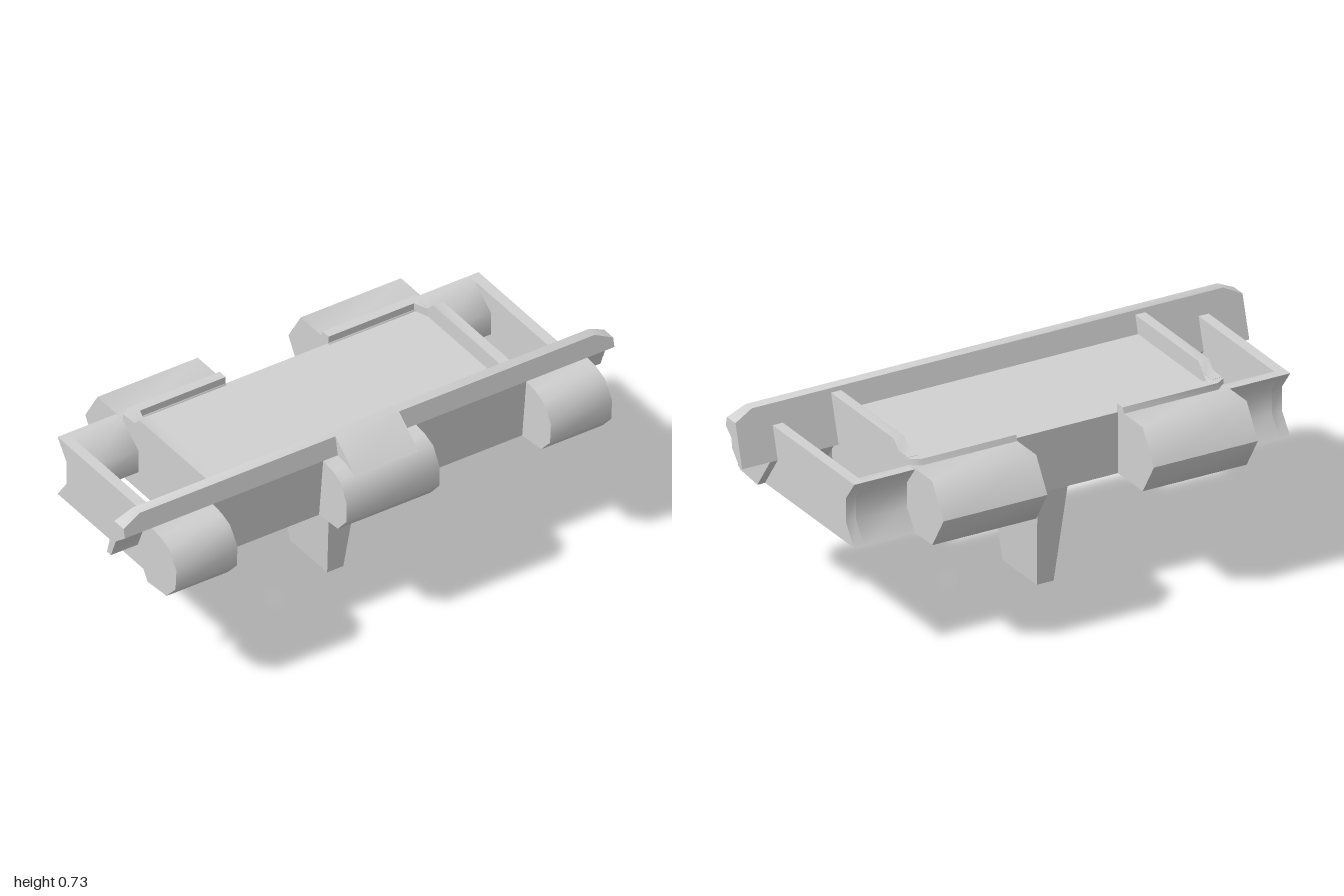
import * as THREE from 'three';
import { toCreasedNormals } from 'three/addons/utils/BufferGeometryUtils.js';

export function createModel() {
  const model = new THREE.Group();
  const grey = new THREE.MeshStandardMaterial({ color: 0xd0d0d0 });
  grey.name = 'plain grey';

  const shapeOf = (pts) => new THREE.Shape(pts.map(([a, b]) => new THREE.Vector2(a, b)));
  const add = (name, geometry) => {
    const mesh = new THREE.Mesh(toCreasedNormals(geometry, 1.05), grey);
    mesh.name = name;
    model.add(mesh);
  };
  // Side profile given as [z, y], extruded from x0 to x1
  const prism = (pts, x0, x1) => {
    const g = new THREE.ExtrudeGeometry(shapeOf(pts), { depth: x1 - x0, bevelEnabled: false });
    return g.rotateY(-Math.PI / 2).translate(x1, 0, 0);
  };
  const pair = (name, pts, x0, x1) => {
    add(name + 'Left', prism(pts, x0, x1));
    add(name + 'Right', prism(pts, -x1, -x0));
  };

  // Tray body and front wall
  add('trayBody', prism([[-0.24, 0.415], [0.28, 0.415], [0.28, 0.645], [-0.24, 0.645]], -0.62, 0.62));
  add('frontWall', prism([[0.26, 0.415], [0.305, 0.415], [0.33, 0.655], [0.27, 0.655]], -0.64, 0.64));

  // Hooked lip across the full width, with a top whose corners are clipped
  add('hookedLip', prism([[0.33, 0.655], [0.3225, 0.69], [0.265, 0.69], [0.22, 0.535],
    [0.245, 0.535], [0.275, 0.61]], -1, 1));
  const lipTop = prism([[0.3225, 0.69], [0.315, 0.725], [0.275, 0.725], [0.265, 0.69]], -1, 1);
  const p = lipTop.attributes.position;
  for (let i = 0; i < p.count; i++) {
    if (p.getY(i) > 0.7) p.setX(i, Math.sign(p.getX(i)) * 0.93);
  }
  add('lipTop', lipTop);

  // Front rolls
  const roll = [[0.33, 0.655], [0.385, 0.648], [0.435, 0.63], [0.48, 0.565], [0.475, 0.485],
    [0.42, 0.425], [0.305, 0.415], [0.22, 0.535], [0.275, 0.61]];
  pair('frontRoll', roll, 0.64, 0.89);
  add('centreRoll', prism(roll.map(([z, y]) => [Math.min(z, 0.472), y]), -0.19, 0.19));
  add('centreWedge', prism([[0.3, 0.6], [0.43, 0.6], [0.435, 0.63], [0.315, 0.725], [0.3, 0.725]], -0.13, 0.13));

  // Back rolls, joined flush to the tray
  pair('backRoll', [[-0.23, 0.415], [-0.405, 0.415], [-0.48, 0.535], [-0.405, 0.655],
    [-0.24, 0.655], [-0.23, 0.645]], 0.21, 0.62);

  // Tray side rails, stepping down at the back
  pair('sideRail', [[-0.24, 0.415], [0.28, 0.415], [0.28, 0.71], [-0.15, 0.71],
    [-0.18, 0.68], [-0.24, 0.677]], 0.58, 0.62);

  // Low back rails with clipped corners, drawn in plan as [x, z], narrower on top
  const plan = [[0.21, -0.235], [0.56, -0.235], [0.58, -0.18], [0.62, -0.18], [0.62, -0.25],
    [0.585, -0.285], [0.21, -0.285]];
  for (const s of [1, -1]) {
    const g = new THREE.ExtrudeGeometry(shapeOf(plan.map(([x, z]) => [s * x, -z])), { depth: 0.036, bevelEnabled: false });
    g.rotateX(-Math.PI / 2).translate(0, 0.64, 0);
    const q = g.attributes.position;
    for (let i = 0; i < q.count; i++) {
      if (q.getY(i) > 0.66) q.setZ(i, Math.max(q.getZ(i), -0.272));
    }
    add(s > 0 ? 'backRailLeft' : 'backRailRight', g);
  }

  // Outer frames: long arm and notched back bar
  const notch = [[-0.29, 0.415], [-0.235, 0.49], [-0.235, 0.58], [-0.29, 0.653]];
  pair('frameArm', [...notch, [0.254, 0.653], [0.22, 0.535], [0.305, 0.415]], 0.82, 0.86);
  pair('frameBar', [...notch, [-0.25, 0.653], [-0.155, 0.58], [-0.155, 0.49], [-0.25, 0.415]], 0.62, 0.82);

  // Tapered foot
  const foot = new THREE.BoxGeometry(1, 0.42, 1).translate(0, 0.21, 0);
  const f = foot.attributes.position;
  for (let i = 0; i < f.count; i++) {
    const top = f.getY(i) > 0.2;
    f.setX(i, Math.sign(f.getX(i)) * (top ? 0.063 : 0.033));
    f.setZ(i, f.getZ(i) > 0 ? (top ? 0.18 : 0.12) : (top ? -0.165 : -0.11));
  }
  add('foot', foot);

  return model;
}
